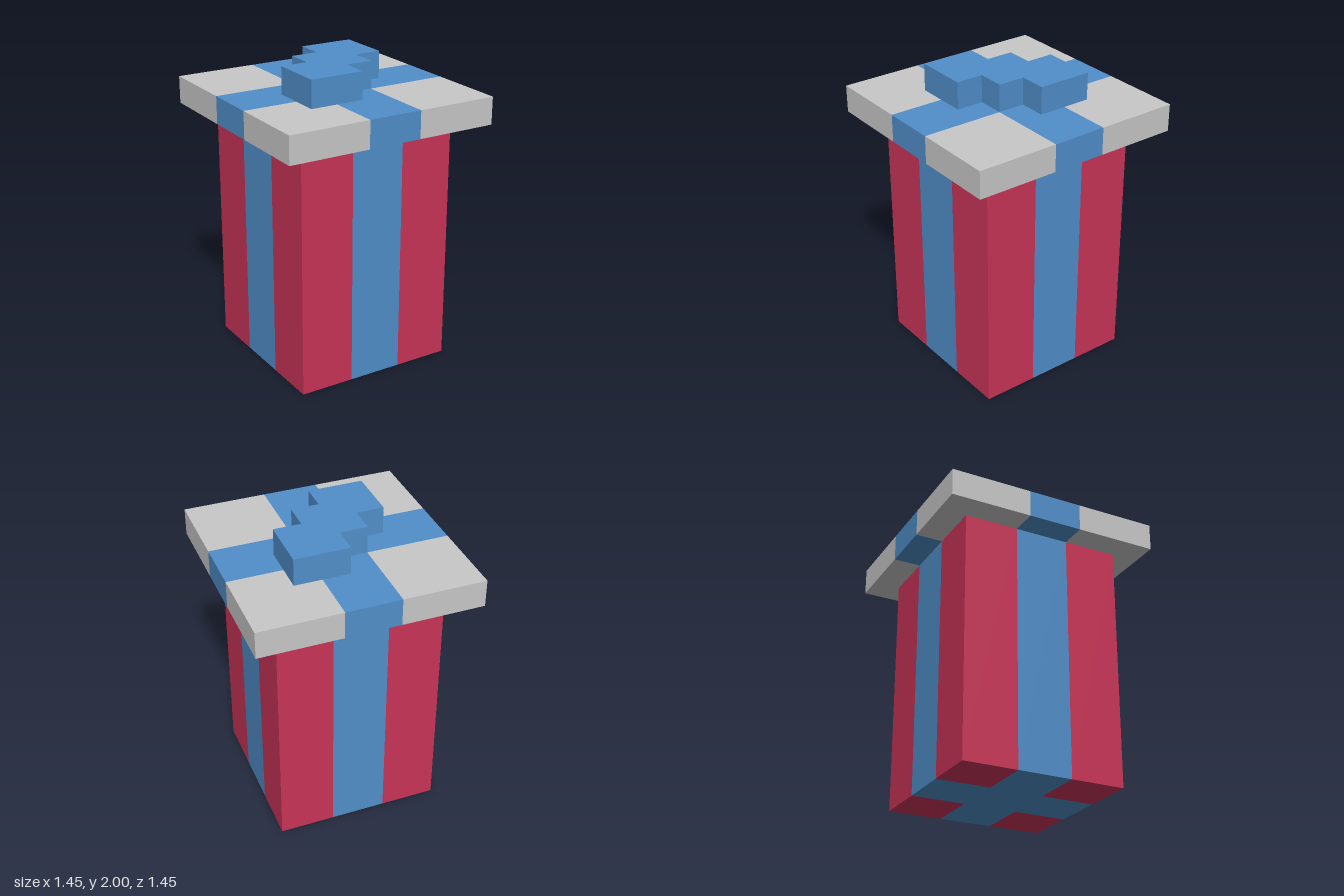
import * as THREE from 'three';

const U = 2 / 11; // every size is a whole number of these units

function material(name, color) {
  const m = new THREE.MeshStandardMaterial({ color });
  m.name = name;
  return m;
}

// Square block whose middle strips in x and z are ribbon coloured on every face
function wrappedBlock(name, width, height, bottom, paper, ribbon) {
  const geo = new THREE.BoxGeometry(width, height, width, 3, 1, 3);
  const pos = geo.attributes.position;
  // pull the inner grid lines to the ribbon edges
  const snap = (v) => (Math.abs(v) < width * 0.4 ? Math.sign(v) * U : v);
  for (let i = 0; i < pos.count; i++) {
    pos.setX(i, snap(pos.getX(i)));
    pos.setZ(i, snap(pos.getZ(i)));
  }
  // one group per quad, coloured by where its centre lies
  geo.clearGroups();
  const index = geo.index;
  for (let q = 0; q < index.count; q += 6) {
    let x = 0, z = 0;
    for (let k = 0; k < 6; k++) {
      x += pos.getX(index.getX(q + k)) / 6;
      z += pos.getZ(index.getX(q + k)) / 6;
    }
    geo.addGroup(q, 6, Math.min(Math.abs(x), Math.abs(z)) < U * 0.5 ? 1 : 0);
  }
  const mesh = new THREE.Mesh(geo, [paper, ribbon]);
  mesh.name = name;
  mesh.position.y = bottom + height / 2;
  return mesh;
}

export function createModel() {
  const group = new THREE.Group();
  group.name = 'giftBox';
  const red = material('red paper', 0xca3458);
  const grey = material('light grey lid', 0xc8c8c8);
  const blue = material('blue ribbon', 0x508fca);

  // box and overhanging lid
  group.add(wrappedBlock('box', 6 * U, 9 * U, 0, red, blue));
  group.add(wrappedBlock('lid', 8 * U, U, 9 * U, grey, blue));

  // stepped bow: half an outline, repeated by a half turn
  const half = [[0, 2], [2, 2], [2, 0], [1, 0], [1, -1], [0, -1]];
  const outline = [...half, ...half.map(([x, y]) => [-x, -y])];
  const shape = new THREE.Shape(outline.map(([x, y]) => new THREE.Vector2(x * U, y * U)));
  const bowGeo = new THREE.ExtrudeGeometry(shape, { depth: U, bevelEnabled: false });
  bowGeo.rotateX(-Math.PI / 2);
  const bow = new THREE.Mesh(bowGeo, blue);
  bow.name = 'bow';
  bow.position.y = 10 * U;
  group.add(bow);

  return group;
}
